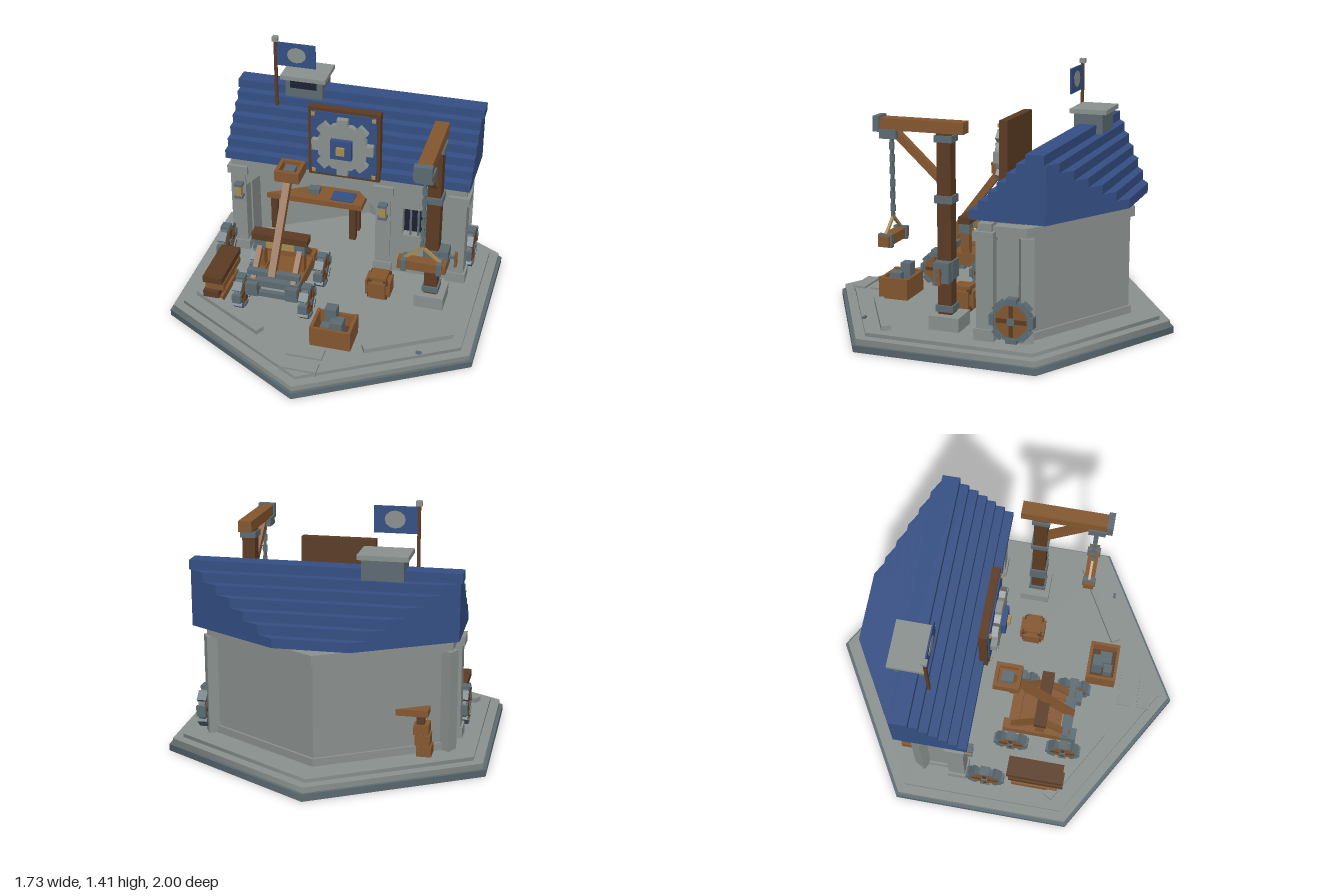
import * as THREE from 'three';

const mat = (name, color) => Object.assign(new THREE.MeshStandardMaterial({ color }), { name });
const stone = mat('stone', 0x8a918e), slate = mat('slate', 0x5c6b72), wood = mat('wood', 0x84572f);
const darkWood = mat('dark wood', 0x5b3b24), blue = mat('blue', 0x344f84), navy = mat('navy', 0x1d2130);
const brass = mat('brass', 0xa98b52);

export function createModel() {
  const root = new THREE.Group();
  root.name = 'workshop';

  const add = (name, geo, m, parent = root) => {
    const mesh = new THREE.Mesh(geo, m);
    mesh.name = name;
    parent.add(mesh);
    return mesh;
  };
  // box from min/max pairs
  const box = (name, m, x0, x1, y0, y1, z0, z1, parent = root) => {
    const b = add(name, new THREE.BoxGeometry(x1 - x0, y1 - y0, z1 - z0), m, parent);
    b.position.set((x0 + x1) / 2, (y0 + y1) / 2, (z0 + z1) / 2);
    return b;
  };
  // square beam between two points
  const beam = (name, m, a, b, w, d = w, parent = root) => {
    const p = new THREE.Vector3(...a), q = new THREE.Vector3(...b);
    const mesh = add(name, new THREE.BoxGeometry(w, d, p.distanceTo(q)), m, parent);
    mesh.position.copy(p).add(q).multiplyScalar(0.5);
    mesh.lookAt(q);
    return mesh;
  };
  const shapeOf = pts => new THREE.Shape(pts.map(p => new THREE.Vector2(...p)));
  const extrude = (shape, depth) => new THREE.ExtrudeGeometry(shape, { depth, bevelEnabled: false });
  // upright prism from a plan outline given as [x, z]
  const prism = (name, m, pts, y0, y1) => {
    const g = extrude(shapeOf(pts.map(([x, z]) => [x, -z])), y1 - y0).rotateX(-Math.PI / 2).translate(0, y0, 0);
    return add(name, g, m);
  };

  // stepped hexagonal base
  [[1, 0, 0.037, slate], [0.98, 0.037, 0.068, stone], [0.92, 0.068, 0.088, stone]].forEach(([r, y0, y1, m]) => {
    add('baseStep', new THREE.CylinderGeometry(r, r, y1 - y0, 6).toNonIndexed(), m).position.y = (y0 + y1) / 2;
  });
  box('entranceStep', stone, -0.1, 0.1, 0.088, 0.1, 0.685, 0.765);
  box('entranceStep', stone, -0.1, 0.1, 0.07, 0.1, 0.8, 0.875);
  for (const s of [-1, 1]) beam('kerb', stone, [s * 0.73, 0.1, 0.37], [s * 0.29, 0.1, 0.62], 0.055, 0.03);

  // rear walls following the hexagon
  const plan = (R, t) => {
    const k = R * 0.866, r = R - t * 1.155, j = r * 0.866;
    return [[-k, -0.2], [-k, -R / 2], [0, -R], [k, -R / 2], [k, -0.2], [j, -0.2], [j, -r / 2], [0, -r], [-j, -r / 2], [-j, -0.2]];
  };
  prism('rearWalls', stone, plan(0.745, 0.05), 0.088, 0.64);
  prism('wallBand', stone, plan(0.77, 0.075), 0.635, 0.69);
  prism('wallPlinth', stone, plan(0.76, 0.06), 0.088, 0.13);
  for (const s of [-1, 1]) {
    box('cornerPost', stone, -0.035, 0.035, 0.088, 0.64, -0.035, 0.035).position.set(s * 0.645, 0.364, -0.375);
    root.children.at(-1).rotation.y = s * Math.PI / 6;
  }

  // front wall with chamfered doorway and window
  const front = shapeOf([[-0.69, 0.088], [-0.61, 0.088], [-0.61, 0.53], [-0.49, 0.64], [0.04, 0.64], [0.17, 0.5], [0.17, 0.088],
    [0.69, 0.088], [0.69, 0.705], [-0.69, 0.705]]);
  front.holes.push(new THREE.Path([[0.33, 0.35], [0.33, 0.53], [0.51, 0.53], [0.51, 0.35]].map(p => new THREE.Vector2(...p))));
  add('frontWall', extrude(front, 0.075).translate(0, 0, -0.205), stone);
  box('windowPane', navy, 0.32, 0.52, 0.34, 0.54, -0.19, -0.18);
  for (const x of [0.375, 0.42, 0.465]) box('windowBar', slate, x - 0.006, x + 0.006, 0.35, 0.53, -0.15, -0.14);
  [[-0.695, -0.605], [0.175, 0.26], [0.605, 0.695]].forEach(([a, b]) => {
    box('pillar', stone, a, b, 0.088, 0.63, -0.215, -0.12);
    box('pillarCap', stone, a - 0.015, b + 0.015, 0.615, 0.665, -0.22, -0.108);
    box('pillarFoot', stone, a - 0.012, b + 0.012, 0.088, 0.15, -0.22, -0.11);
  });
  for (const x of [-0.64, 0.22]) {
    box('lantern', brass, x - 0.018, x + 0.018, 0.475, 0.545, -0.115, -0.08);
    for (const y of [0.465, 0.545]) box('lanternCap', slate, x - 0.025, x + 0.025, y, y + 0.016, -0.12, -0.075);
  }

  // roof courses, cut parallel to the rear walls
  for (let i = 0; i < 7; i++) {
    const h = 0.35 - 0.05 * i, zf = -0.44 + h, zb = -0.44 - h, w = i === 6 ? 0.72 : 0.71;
    const cut = z => Math.min(w, (z + 0.905) * 1.732), zc = w / 1.732 - 0.905;
    const side = [[w, zf], [w, Math.max(zc, zb)]];
    if (zb < zc - 0.001) side.push([cut(zb), zb]);
    prism('roofCourse', blue, [...side, ...side.map(([x, z]) => [-x, z]).reverse()], 0.725 + 0.0507 * i, 0.7757 + 0.0507 * i);
  }

  // roof vent
  box('ventBody', slate, -0.425, -0.205, 1.0, 1.14, -0.525, -0.36);
  box('ventOpening', navy, -0.395, -0.24, 1.088, 1.13, -0.36, -0.354);
  box('ventCap', stone, -0.45, -0.185, 1.14, 1.165, -0.55, -0.34);

  // flag
  box('flagPole', darkWood, -0.477, -0.461, 0.95, 1.385, -0.338, -0.322);
  box('flagFinial', stone, -0.485, -0.453, 1.385, 1.412, -0.346, -0.314);
  box('flag', blue, -0.461, -0.235, 1.238, 1.38, -0.334, -0.326);
  const emblem = add('flagEmblem', new THREE.CylinderGeometry(0.055, 0.055, 0.012, 12).rotateX(Math.PI / 2), stone);
  emblem.position.set(-0.345, 1.31, -0.33);
  emblem.scale.y = 0.85;

  // gear sign
  box('signBoard', darkWood, -0.205, 0.205, 0.72, 1.146, -0.115, -0.068);
  box('signPanel', blue, -0.187, 0.187, 0.738, 1.128, -0.07, -0.06);
  const gear = new THREE.Group();
  gear.name = 'signGear';
  gear.position.set(0, 0.935, -0.04);
  root.add(gear);
  add('gearBody', new THREE.CylinderGeometry(0.147, 0.147, 0.035, 8).rotateY(Math.PI / 8).rotateX(Math.PI / 2).toNonIndexed(), stone, gear);
  for (let i = 0; i < 8; i++) {
    const t = add('gearTooth', new THREE.BoxGeometry(0.062, 0.06, 0.035).translate(0, 0.145, 0), stone, gear);
    t.rotation.z = i * Math.PI / 4;
  }
  box('gearHub', blue, -0.06, 0.06, -0.058, 0.058, 0, 0.045, gear);
  box('gearPin', brass, -0.023, 0.023, -0.023, 0.023, 0, 0.062, gear);
  for (const x of [-0.172, 0.172]) for (const y of [0.755, 1.113]) box('signStud', brass, x - 0.01, x + 0.01, y - 0.01, y + 0.01, -0.07, -0.05);

  // cart wheel turning about x
  const wheel = (x, y, z, r) => {
    const g = new THREE.Group();
    g.name = 'wheel';
    g.position.set(x, y, z);
    root.add(g);
    const disc = (name, m, rad, w) => add(name, new THREE.CylinderGeometry(rad, rad, w, 8).rotateZ(Math.PI / 2).rotateX(Math.PI / 8).toNonIndexed(), m, g);
    disc('wheelRim', slate, r * 0.93, 0.036);
    disc('wheelFace', wood, r * 0.76, 0.044);
    for (let i = 0; i < 8; i++) {
      const b = add('rimBlock', new THREE.BoxGeometry(0.052, r * 0.2, r * 0.5).translate(0, r * 0.9, 0), slate, g);
      b.rotation.x = i * Math.PI / 4;
    }
    box('spoke', darkWood, -0.026, 0.026, -r * 0.7, r * 0.7, -r * 0.1, r * 0.1, g);
    box('spoke', darkWood, -0.025, 0.025, -r * 0.1, r * 0.1, -r * 0.7, r * 0.7, g);
    box('hub', slate, -0.032, 0.032, -r * 0.16, r * 0.16, -r * 0.16, r * 0.16, g);
  };
  wheel(0.7, 0.215, -0.32, 0.118);
  wheel(-0.695, 0.21, 0, 0.11);

  // catapult
  for (const z of [0.11, 0.415]) {
    for (const x of [-0.46, -0.08]) wheel(x, 0.2, z, 0.1);
    box('axle', slate, -0.46, -0.08, 0.185, 0.215, z - 0.015, z + 0.015);
    box('crossMember', z > 0.2 ? slate : wood, -0.42, -0.12, 0.265, 0.305, z - 0.03, z + 0.03);
  }
  for (const x of [-0.385, -0.155]) {
    box('sideRail', wood, x - 0.03, x + 0.03, 0.22, 0.29, 0.05, 0.47);
    box('railCap', slate, x - 0.034, x + 0.034, 0.215, 0.295, 0.44, 0.475);
    box('upright', wood, x - 0.022, x + 0.022, 0.28, 0.45, 0.24, 0.29);
    beam('brace', wood, [x, 0.45, 0.265], [x, 0.29, 0.43], 0.03);
    beam('brace', wood, [x, 0.45, 0.265], [x, 0.29, 0.1], 0.03);
    box('bundleCap', slate, x - 0.03, x + 0.03, 0.41, 0.47, 0.235, 0.3);
  }
  box('ropeBundle', brass, -0.39, -0.15, 0.418, 0.464, 0.245, 0.29);
  box('topBar', darkWood, -0.432, -0.11, 0.47, 0.51, 0.23, 0.3);
  box('frontRack', slate, -0.42, -0.12, 0.325, 0.355, 0.395, 0.43);
  box('bedPlank', wood, -0.37, -0.17, 0.25, 0.27, 0.14, 0.38);
  beam('throwingArm', wood, [-0.275, 0.79, 0.08], [-0.275, 0.33, 0.43], 0.04);
  box('bucketFloor', wood, -0.345, -0.205, 0.76, 0.785, -0.015, 0.13);
  for (const s of [-1, 1]) {
    box('bucketSide', wood, -0.275 + s * 0.06 - 0.01, -0.275 + s * 0.06 + 0.01, 0.78, 0.825, -0.015, 0.13);
    box('bucketEnd', wood, -0.335, -0.215, 0.78, 0.825, 0.0575 + s * 0.0625 - 0.01, 0.0575 + s * 0.0625 + 0.01);
  }
  box('shot', slate, -0.305, -0.245, 0.78, 0.815, 0.025, 0.09);

  // crane
  box('craneFoot', stone, 0.47, 0.635, 0.088, 0.165, 0, 0.17);
  box('cranePost', darkWood, 0.517, 0.59, 0.16, 1.14, 0.057, 0.133);
  [[0.18, 0.215], [0.36, 0.46], [0.765, 0.805], [1.085, 1.12]].forEach(([a, b]) => box('postBand', slate, 0.508, 0.6, a, b, 0.046, 0.144));
  box('craneJib', wood, 0.515, 0.592, 1.13, 1.192, -0.015, 0.465);
  box('jibCap', slate, 0.505, 0.602, 1.12, 1.202, 0.45, 0.485);
  box('jibBracket', slate, 0.505, 0.602, 1.085, 1.135, 0.355, 0.45);
  beam('jibBrace', wood, [0.553, 0.87, 0.11], [0.553, 1.12, 0.38], 0.04);
  box('winch', slate, 0.585, 0.645, 0.35, 0.46, 0.05, 0.135);
  box('winchHandle', slate, 0.64, 0.69, 0.4, 0.415, 0.085, 0.1);
  box('winchGrip', wood, 0.675, 0.69, 0.35, 0.44, 0.08, 0.105);
  for (let i = 0; i < 13; i++) {
    const link = add('chainLink', new THREE.BoxGeometry(0.026, 0.04, 0.012), slate);
    link.position.set(0.553, 1.075 - i * 0.033, 0.4);
    link.rotation.y = (i % 2) * Math.PI / 2;
  }
  for (const s of [-1, 1]) {
    beam('sling', brass, [0.553, 0.665, 0.4], [0.553 + s * 0.1, 0.58, 0.4], 0.014);
    box('loadBand', slate, 0.553 + s * 0.095 - 0.014, 0.553 + s * 0.095 + 0.014, 0.52, 0.59, 0.362, 0.438);
  }
  box('hangingLoad', wood, 0.423, 0.683, 0.528, 0.582, 0.37, 0.43);

  // workbench and stacked blocks inside
  box('benchTop', wood, -0.56, 0.03, 0.31, 0.345, -0.52, -0.36);
  for (const x of [-0.52, -0.03]) for (const z of [-0.49, -0.39]) box('benchLeg', darkWood, x - 0.02, x + 0.02, 0.088, 0.31, z - 0.02, z + 0.02);
  box('benchPlans', blue, -0.17, -0.03, 0.345, 0.351, -0.48, -0.38);
  box('benchTool', slate, -0.32, -0.25, 0.345, 0.375, -0.47, -0.42);
  for (let i = 0; i < 3; i++) box('block', wood, -0.58 + i * 0.008, -0.5 + i * 0.008, 0.09 + i * 0.06, 0.145 + i * 0.06, -0.52, -0.43);

  // plank stack
  [[-0.69, -0.575, 0.15, 0.42, wood], [-0.68, -0.59, 0.13, 0.45, darkWood], [-0.67, -0.565, 0.14, 0.43, wood], [-0.682, -0.568, 0.12, 0.44, darkWood]]
    .forEach(([a, b, c, d, m], i) => box('plank', m, a, b, 0.09 + i * 0.045, 0.13 + i * 0.045, c, d));
  for (const z of [0.2, 0.37]) box('plankSpacer', wood, -0.665, -0.585, 0.088, 0.25, z - 0.02, z + 0.02);

  // open toolbox
  box('toolboxFloor', darkWood, 0.005, 0.22, 0.088, 0.13, 0.485, 0.64);
  for (const x of [0, 0.21]) box('toolboxEnd', wood, x, x + 0.018, 0.088, 0.21, 0.475, 0.65);
  for (const z of [0.475, 0.633]) box('toolboxSide', wood, 0, 0.228, 0.088, 0.205, z, z + 0.017);
  box('ironBlock', slate, 0.06, 0.125, 0.12, 0.275, 0.5, 0.56);
  box('ironBlock', slate, 0.1, 0.17, 0.12, 0.225, 0.54, 0.61);
  box('ironBlock', slate, 0.05, 0.1, 0.12, 0.2, 0.57, 0.62);

  // bevelled crate
  const c = [0.258, 0.162, 0.115], tip = 0.046;
  for (let i = 0; i < 3; i++) {
    const s = [0.048, 0.048, 0.048];
    s[i] = 0.072;
    box('crateBlock', wood, c[0] - s[0], c[0] + s[0], c[1] - s[1], c[1] + s[1], c[2] - s[2], c[2] + s[2]);
  }
  for (const x of [-tip, tip]) for (const y of [-tip, tip]) for (const z of [-tip, tip]) {
    box('crateCorner', darkWood, -0.012, 0.012, -0.012, 0.012, -0.012, 0.012).position.set(c[0] + x, c[1] + y, c[2] + z);
  }
  // scraps on the floor
  box('scrap', slate, 0.57, 0.6, 0.088, 0.1, 0.56, 0.575);
  box('scrap', slate, 0.42, 0.45, 0.088, 0.1, 0.54, 0.56);

  return root;
}
